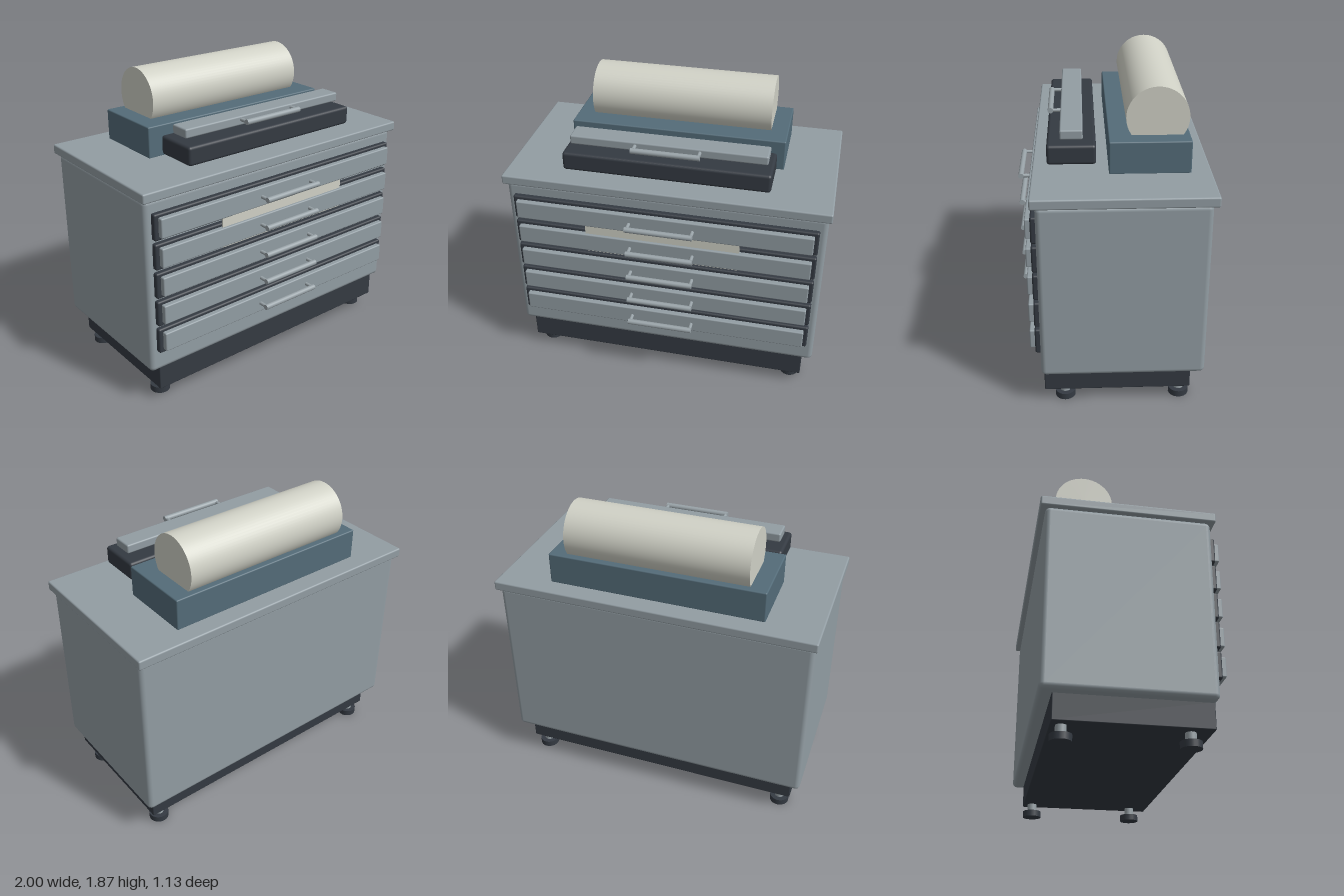
import * as THREE from 'three';
import { RoundedBoxGeometry } from 'three/addons/geometries/RoundedBoxGeometry.js';

const mat = (name, color) => {
  const m = new THREE.MeshStandardMaterial({ color });
  m.name = name;
  return m;
};

export function createModel() {
  const root = new THREE.Group();
  root.name = 'flatFileCabinet';
  const steel = mat('greySteel', 0x929da3);
  const dark = mat('charcoal', 0x343a42);
  const blue = mat('slateBlue', 0x546c79);
  const paper = mat('paper', 0xd0d1c6);
  const metal = mat('brushedMetal', 0x98a2a7);

  const add = (name, geo, material, parent = root) => {
    const m = new THREE.Mesh(geo, material);
    m.name = name;
    parent.add(m);
    return m;
  };
  // Rounded box given by half width and its y and z ranges
  const box = (name, hx, y0, y1, z0, z1, r, material) => {
    const m = add(name, new RoundedBoxGeometry(hx * 2, y1 - y0, z1 - z0, 3, r), material);
    m.position.set(0, (y0 + y1) / 2, (z0 + z1) / 2);
    return m;
  };
  const cylinder = (name, r, h, x, y, z, material, parent = root) => {
    const m = add(name, new THREE.CylinderGeometry(r, r, h, 24), material, parent);
    m.position.set(x, y, z);
    return m;
  };
  // Bar handle on two posts, standing on a face at z
  const handle = (name, y, z) => {
    const g = new THREE.Group();
    g.name = name;
    g.position.set(0, y, z);
    root.add(g);
    cylinder('handleBar', 0.017, 0.412, 0, 0, 0.06, metal, g).rotation.z = Math.PI / 2;
    for (const s of [-1, 1])
      cylinder('handlePost', 0.011, 0.07, s * 0.195, 0, 0.028, metal, g).rotation.x = Math.PI / 2;
  };

  // Cabinet
  box('cabinetBody', 0.98, 0.24, 1.345, -0.538, 0.427, 0.03, steel);
  box('worktop', 0.998, 1.34, 1.4, -0.568, 0.455, 0.01, steel);
  box('plinth', 0.915, 0.09, 0.25, -0.463, 0.412, 0.006, dark);

  // Levelling feet
  for (const x of [-0.84, 0.84])
    for (const z of [-0.403, 0.29]) {
      cylinder('footPad', 0.061, 0.04, x, 0.02, z, dark);
      cylinder('footStem', 0.031, 0.06, x, 0.065, z, metal);
    }

  // Five shallow drawers
  for (let i = 0; i < 5; i++) {
    const y = 1.185 - i * 0.182;
    box('drawerSurround', 0.936, y - 0.081, y + 0.081, 0.4, 0.458, 0.012, dark);
    box('drawerFront', 0.91, y - 0.06, y + 0.06, 0.44, 0.489, 0.008, steel);
    handle('drawerHandle', y, 0.489);
  }

  // Sheet caught in the second drawer
  const sheet = add('paperSheet', new THREE.BoxGeometry(0.956, 0.19, 0.012), paper);
  sheet.position.set(0, 1.028, 0.468);

  // Roll cradle and paper roll
  box('rollCradle', 0.67, 1.395, 1.59, -0.45, 0.017, 0.008, blue);
  const roll = add('paperRoll', new THREE.CylinderGeometry(0.18, 0.18, 1.128, 64), paper);
  roll.rotation.z = Math.PI / 2;
  roll.position.set(0, 1.694, -0.263);

  // Cutter bed and handled blade bar
  box('cutterBed', 0.629, 1.44, 1.556, 0.087, 0.368, 0.018, dark);
  box('cutterBar', 0.597, 1.579, 1.636, 0.161, 0.292, 0.01, steel);
  handle('cutterHandle', 1.614, 0.292);
  return root;
}
